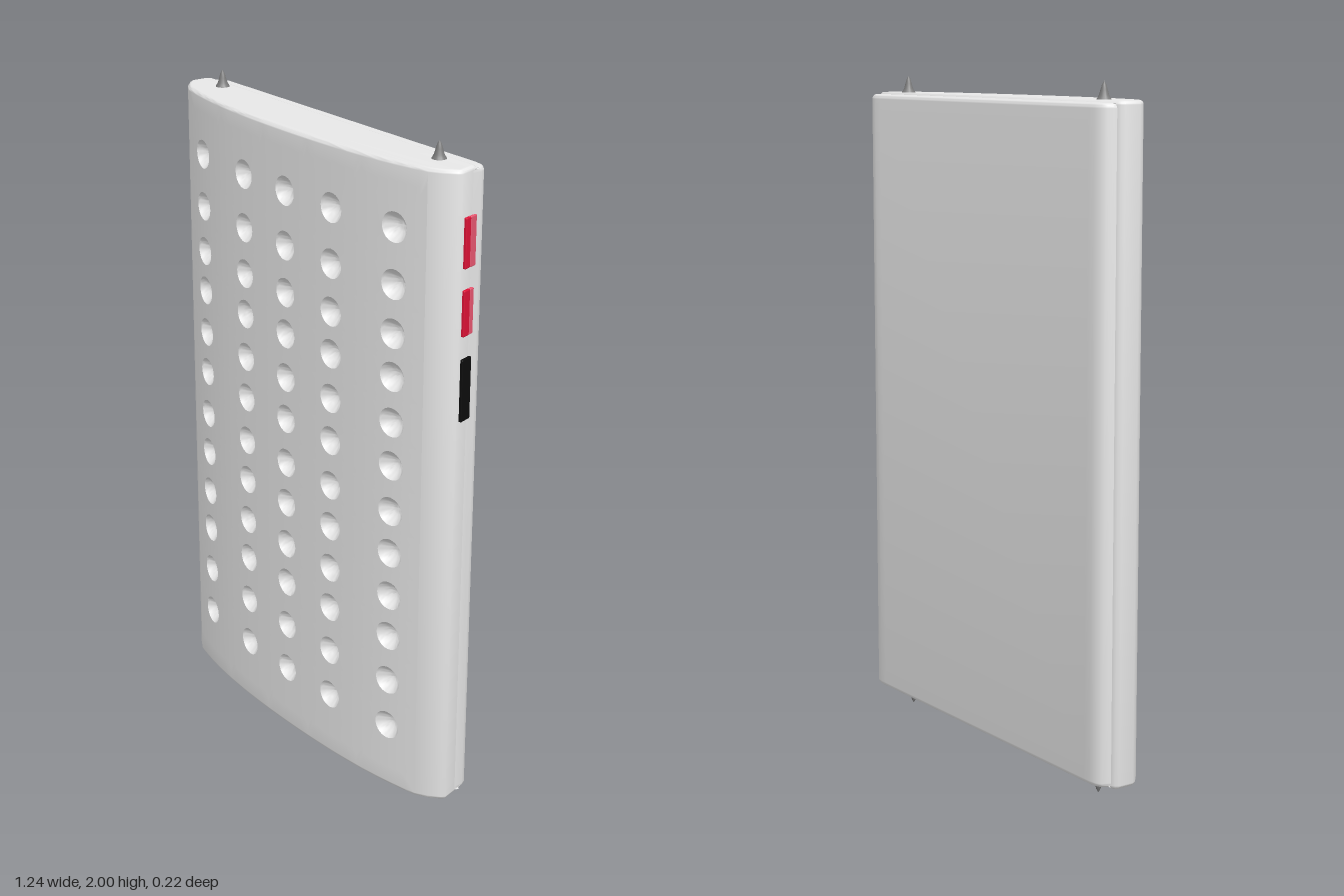
import * as THREE from 'three';
import { toCreasedNormals } from 'three/addons/utils/BufferGeometryUtils.js';
import { RoundedBoxGeometry } from 'three/addons/geometries/RoundedBoxGeometry.js';

const COLUMNS = [-0.455, -0.21, -0.005, 0.2, 0.44];
const ROWS = [0.25, 0.4, 0.545, 0.675, 0.81, 0.94, 1.08, 1.21, 1.345, 1.47, 1.61, 1.77];
const BOTTOM = 0.05, TOP = 1.95, ROUND = 0.011;
const DIMPLE_RADIUS = 0.043, DIMPLE_DEPTH = 0.034;
const SIDE_STEPS = 8;

// Gently bowed front face
const frontZ = (x) => 0.109 - 0.12 * (x + 0.005) ** 2 - 0.2 * (x + 0.005) ** 4;
const lerp = THREE.MathUtils.lerp;

// Cell borders halfway between neighbouring dimples
function borders(centres, first, last) {
  const mids = centres.slice(1).map((c, i) => (c + centres[i]) / 2);
  return [first, ...mids, last];
}

function quad(out, a, b, c, d) {
  out.push(...a, ...b, ...c, ...a, ...c, ...d);
}

// Upright prism with rounded end edges; openSide(i) leaves out part of the wall
function loft(out, profile, y0, y1, r, openSide = () => false) {
  const n = profile.length;
  const normals = profile.map((_, i) => {
    const p = profile[(i + n - 1) % n], q = profile[(i + 1) % n];
    const dx = q[0] - p[0], dz = q[1] - p[1], len = Math.hypot(dx, dz);
    return [dz / len, -dx / len];
  });
  // Lower rounding, preceded by a narrow flat rim, then its mirror image
  const arc = 5;
  const levels = [[y0, r * 1.4]];
  for (let k = 0; k <= arc; k++) {
    const a = (k / arc) * Math.PI / 2;
    levels.push([y0 + r * (1 - Math.cos(a)), r * (1 - Math.sin(a))]);
  }
  const wall = levels.length - 1;
  for (let k = wall; k >= 0; k--) levels.push([y0 + y1 - levels[k][0], levels[k][1]]);
  const loops = levels.map(([y, inset]) => profile.map(([x, z], i) =>
    [x - normals[i][0] * inset, y, z - normals[i][1] * inset]));
  for (let k = 0; k < loops.length - 1; k++) {
    for (let i = 0; i < n; i++) {
      if (k === wall && openSide(i)) continue;
      const j = (i + 1) % n;
      quad(out, loops[k][i], loops[k + 1][i], loops[k + 1][j], loops[k][j]);
    }
  }
  // Flat ends
  const zMid = profile.reduce((s, p) => s + p[1], 0) / n;
  const low = loops[0], high = loops[loops.length - 1];
  for (let i = 0; i < n; i++) {
    const j = (i + 1) % n;
    out.push(0, y0, zMid, ...low[i], ...low[j]);
    out.push(0, y1, zMid, ...high[j], ...high[i]);
  }
}

// Rectangular patch of the front face with a bowl sunk in it
function dimpleCell(out, cx, cy, x0, x1, y0, y1) {
  const edge = [];
  const corners = [[-1, -1], [1, -1], [1, 1], [-1, 1]];
  corners.forEach((a, s) => {
    const b = corners[(s + 1) % 4];
    for (let k = 0; k < SIDE_STEPS; k++) {
      edge.push([lerp(a[0], b[0], k / SIDE_STEPS), lerp(a[1], b[1], k / SIDE_STEPS)]);
    }
  });
  const rings = [];
  for (const t of [0, 0.2, 0.4, 0.6, 0.75, 0.9, 1]) {
    rings.push(edge.map(([u, v]) => {
      const a = Math.atan2(v, u);
      const x = cx + Math.cos(a) * DIMPLE_RADIUS * t;
      return [x, cy + Math.sin(a) * DIMPLE_RADIUS * t, frontZ(x) - DIMPLE_DEPTH * (1 - t * t)];
    }));
  }
  const rim = rings[rings.length - 1];
  for (const t of [0.33, 0.67, 1]) {
    rings.push(edge.map(([u, v], i) => {
      const x = lerp(rim[i][0], lerp(x0, x1, (u + 1) / 2), t);
      return [x, lerp(rim[i][1], lerp(y0, y1, (v + 1) / 2), t), frontZ(x)];
    }));
  }
  for (let k = 0; k < rings.length - 1; k++) {
    for (let i = 0; i < edge.length; i++) {
      const j = (i + 1) % edge.length;
      quad(out, rings[k][i], rings[k + 1][i], rings[k + 1][j], rings[k][j]);
    }
  }
}

function smoothGeometry(positions, crease) {
  const g = new THREE.BufferGeometry();
  g.setAttribute('position', new THREE.Float32BufferAttribute(positions, 3));
  return toCreasedNormals(g, crease);
}

export function createModel() {
  const group = new THREE.Group();
  const material = (name, color) => {
    const m = new THREE.MeshStandardMaterial({ color });
    m.name = name;
    return m;
  };
  const casing = material('casing grey', 0xe9e9e9);
  const metal = material('pin grey', 0x7c7c7c);
  const red = material('button red', 0xdc1236);
  const pink = material('button pink', 0xea5872);
  const black = material('button black', 0x0c0c0c);
  const add = (name, geometry, mat, x = 0, y = 0, z = 0) => {
    const mesh = new THREE.Mesh(geometry, mat);
    mesh.name = name;
    mesh.position.set(x, y, z);
    group.add(mesh);
    return mesh;
  };

  // Front shell: bowed face with a grid of dimples
  const xs = borders(COLUMNS, -0.555, 0.545);
  const ys = borders(ROWS, BOTTOM + ROUND, TOP - ROUND);
  const right = [[0.588, -0.071], [0.596, -0.065], [0.601, -0.055], [0.615, -0.006], [0.61, 0.006], [0.58, 0.033]];
  const left = [[-0.59, 0.034], [-0.616, 0.011], [-0.625, -0.004], [-0.625, -0.052], [-0.619, -0.062], [-0.608, -0.07]];
  const front = [];
  for (let c = COLUMNS.length - 1; c >= 0; c--) {
    for (let k = 0; k < SIDE_STEPS; k++) {
      const x = lerp(xs[c + 1], xs[c], k / SIDE_STEPS);
      front.push([x, frontZ(x)]);
    }
  }
  front.push([xs[0], frontZ(xs[0])]);
  const shell = [];
  const start = right.length, end = start + front.length - 1;
  loft(shell, [...right, ...front, ...left], BOTTOM, TOP, ROUND, (i) => i >= start && i < end);
  ROWS.forEach((cy, r) => COLUMNS.forEach((cx, c) =>
    dimpleCell(shell, cx, cy, xs[c], xs[c + 1], ys[r], ys[r + 1])));
  add('dimpledFrontShell', smoothGeometry(shell, 0.75), casing);

  // Back plate, slightly smaller than the shell
  const halfBack = [[0.53, -0.11], [0.555, -0.11], [0.58, -0.106], [0.594, -0.095], [0.601, -0.08], [0.602, -0.05]];
  const back = [];
  loft(back, [...halfBack, ...halfBack.map(([x, z]) => [-x - 0.008, z]).reverse()],
    BOTTOM + 0.006, TOP - 0.006, 0.014);
  add('backPlate', smoothGeometry(back, 0.75), casing);

  // Pointed pins at both ends
  const pin = new THREE.LatheGeometry(
    [[0.023, -0.003], [0.018, 0.005], [0.014, 0.012], [0.01, 0.026], [0.006, 0.04], [0, 0.05]]
      .map(([r, y]) => new THREE.Vector2(r, y)), 16);
  for (const x of [-0.5, 0.49]) {
    add('topPin', pin, metal, x, TOP, -0.03);
    add('bottomPin', pin, metal, x, BOTTOM, -0.03).rotation.x = Math.PI;
  }

  // Side buttons on the back-tilted side face, each made of strips from front to rear
  const button = (name, y, height, strips) => {
    const holder = new THREE.Group();
    holder.name = name;
    holder.position.set(0.614, y, -0.017);
    holder.rotation.y = 0.28;
    let z = 0;
    for (const [mat, width] of strips) {
      const strip = new THREE.Mesh(new RoundedBoxGeometry(0.012, height, width, 2, 0.003), mat);
      strip.name = name + 'Strip';
      strip.position.set(0, 0, z - width / 2);
      z -= width;
      holder.add(strip);
    }
    group.add(holder);
  };
  button('upperRedButton', 1.75, 0.14, [[red, 0.022], [pink, 0.027]]);
  button('lowerRedButton', 1.555, 0.13, [[red, 0.027], [pink, 0.018]]);
  button('blackButton', 1.335, 0.18, [[black, 0.043]]);

  return group;
}
